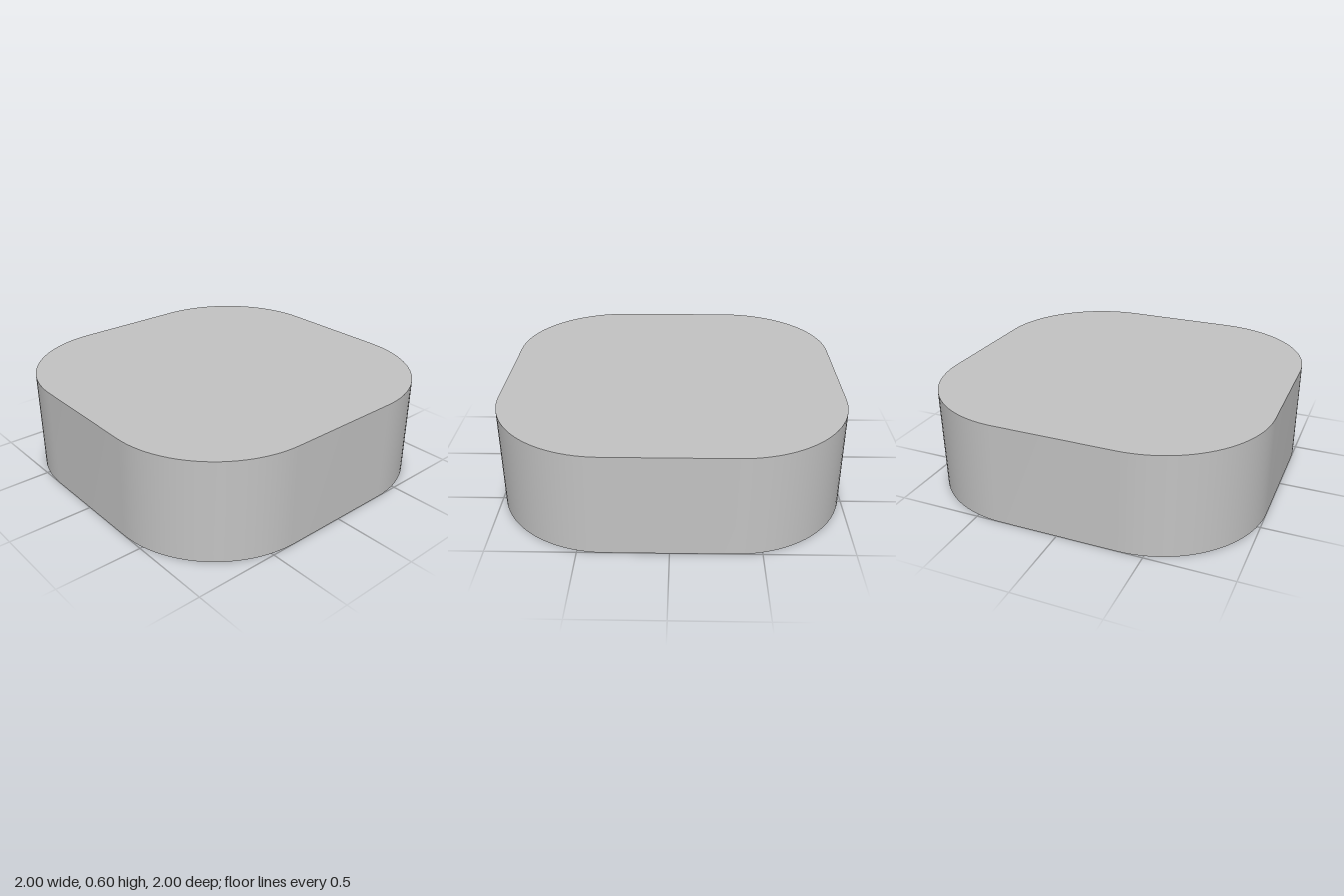
import * as THREE from 'three';
import { toCreasedNormals } from 'three/addons/utils/BufferGeometryUtils.js';

const HEIGHT = 0.6, DEPTH = 0.45;          // body height, blind hole depth
const CORNER = 0.65;                       // corner radius of the outline
const PITCH = 0.163, MINOR = 0.59, THREAD = 0.085;
const SEGMENTS = 120;

// Height of a thread crest at an angle; it rises one pitch per turn
const crestHeight = (a) => 0.074 + PITCH * (0.96 - a) / (2 * Math.PI);

// Hole radius at an angle and height: flat crest, sloped flank, flat root
function holeRadius(a, y) {
  const turns = (y - crestHeight(a)) / PITCH;
  const t = Math.abs(turns - Math.round(turns));
  return MINOR + THREAD * THREE.MathUtils.clamp((t - 0.125) / 0.3125, 0, 1);
}

// Skin a list of columns of points; collapsed triangles are left out
function skin(columns, crease) {
  const points = [];
  const addTriangle = (a, b, c) => {
    if (new THREE.Triangle(a, b, c).getArea() > 1e-8) points.push(a, b, c);
  };
  for (let i = 0; i < columns.length - 1; i++) {
    const p = columns[i], q = columns[i + 1];
    for (let j = 0; j < p.length - 1; j++) {
      addTriangle(p[j], q[j], q[j + 1]);
      addTriangle(p[j], q[j + 1], p[j + 1]);
    }
  }
  return toCreasedNormals(new THREE.BufferGeometry().setFromPoints(points), crease);
}

// Square outline with large round corners
function outlinePoints() {
  const points = [], steps = 24, inset = 1 - CORNER;
  for (let c = 0; c < 4; c++) {
    const mid = (c + 0.5) * Math.PI / 2;
    for (let j = 0; j <= steps; j++) {
      const a = (c + j / steps) * Math.PI / 2;
      points.push(new THREE.Vector2(
        Math.sign(Math.cos(mid)) * inset + CORNER * Math.cos(a),
        Math.sign(Math.sin(mid)) * inset + CORNER * Math.sin(a)));
    }
  }
  return points;
}

export function createModel() {
  const group = new THREE.Group();
  const grey = new THREE.MeshStandardMaterial({ color: 0xc4c4c4 });
  grey.name = 'grey';
  const add = (name, geometry, y = 0) => {
    const mesh = new THREE.Mesh(geometry, grey);
    mesh.name = name;
    mesh.position.y = y;
    group.add(mesh);
  };
  const outline = outlinePoints();
  const angles = Array.from({ length: SEGMENTS + 1 }, (_, i) => i / SEGMENTS * 2 * Math.PI);

  // Outer side wall
  const wall = [...outline, outline[0]].map((p) =>
    [HEIGHT, 0].map((y) => new THREE.Vector3(p.x, y, p.y)));
  add('sideWall', skin(wall, 0.5));

  // Closed top face
  add('topFace', new THREE.ShapeGeometry(new THREE.Shape(outline)).rotateX(-Math.PI / 2), HEIGHT);

  // Bottom face, its opening cut along the thread
  const base = new THREE.Shape(outline);
  base.holes.push(new THREE.Path(angles.slice(0, -1).map((a) => {
    const r = holeRadius(a, 0);
    return new THREE.Vector2(r * Math.cos(a), r * Math.sin(a));
  })));
  add('bottomFace', new THREE.ShapeGeometry(base).rotateX(Math.PI / 2));

  // Helical thread inside the hole, trimmed to its depth
  const thread = angles.map((a) => {
    const column = [];
    for (let k = -3; k <= 6; k++) {
      for (const knot of [-0.4375, -0.125, 0.125, 0.4375]) {
        const y = THREE.MathUtils.clamp(crestHeight(a) + (k + knot) * PITCH, 0, DEPTH);
        const r = holeRadius(a, y);
        column.push(new THREE.Vector3(r * Math.cos(a), y, r * Math.sin(a)));
      }
    }
    return column;
  });
  add('innerThread', skin(thread, 0.4));

  // Flat end of the hole
  add('holeCeiling', new THREE.CircleGeometry(MINOR + THREAD, SEGMENTS).rotateX(Math.PI / 2), DEPTH);

  return group;
}
